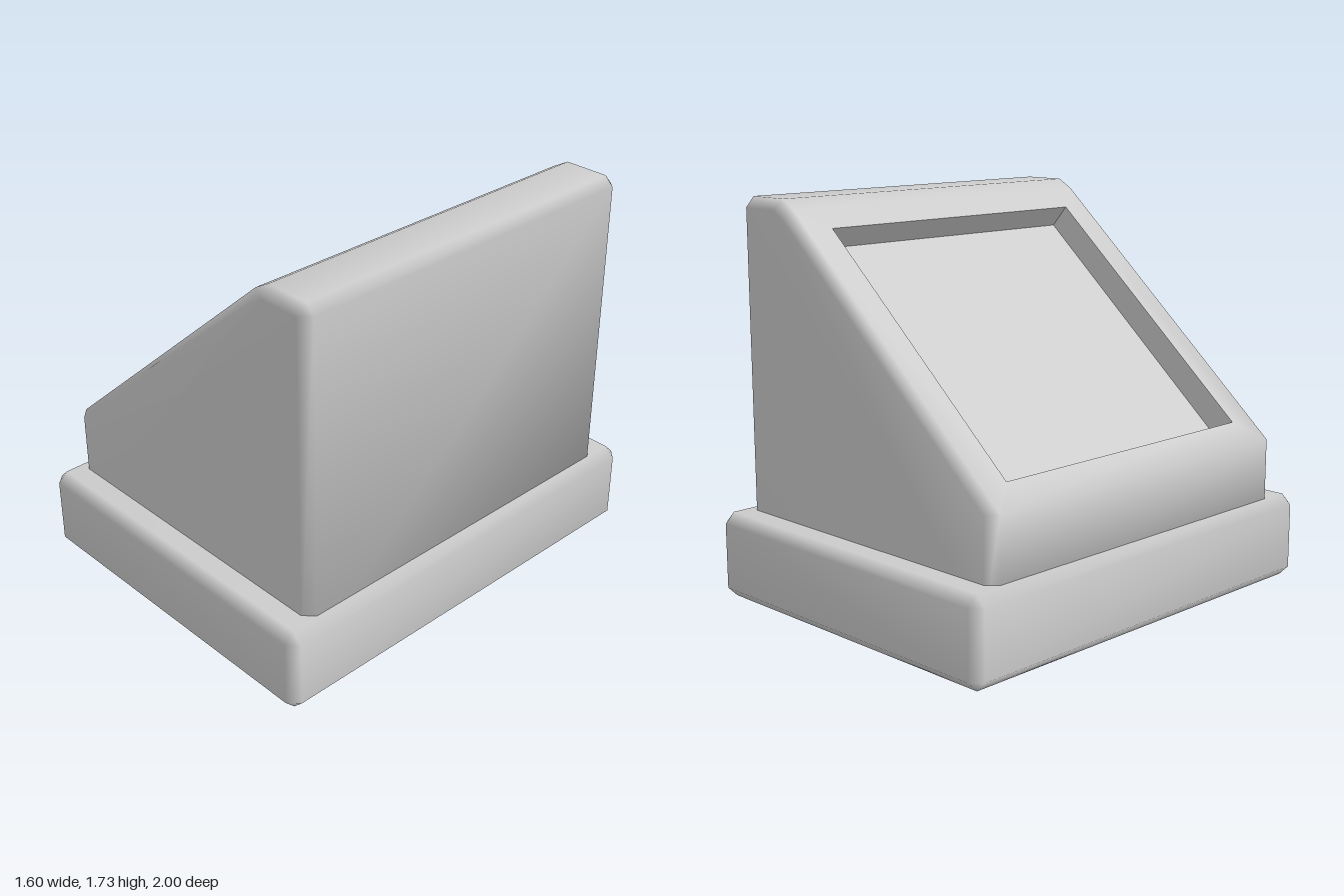
import * as THREE from 'three';
import { mergeVertices } from 'three/addons/utils/BufferGeometryUtils.js';

const material = new THREE.MeshStandardMaterial({ color: 0xcccccc });

// Two triangles for the quad a, b, c, d (counter-clockwise from outside)
function quad(out, a, b, c, d) {
  for (const p of [a, b, c, a, c, d]) out.push(...p);
}

function toGeometry(points) {
  const geometry = new THREE.BufferGeometry();
  geometry.setAttribute('position', new THREE.Float32BufferAttribute(points, 3));
  return geometry;
}

// Prism along z with chamfered ends: outer profile between +-zOuter, inner profile at +-zInner.
// If edge openEdge is given, that side becomes a frame around the four rim points.
function bevelPrism(outer, inner, zOuter, zInner, openEdge = -1, rim = []) {
  const at = (profile, z) => profile.map(([x, y]) => [x, y, z]);
  const rings = [at(inner, zInner), at(outer, zOuter), at(outer, -zOuter), at(inner, -zInner)];
  const out = [];
  const n = outer.length;
  for (let r = 0; r < 3; r++) {
    for (let i = 0; i < n; i++) {
      const j = (i + 1) % n;
      const loop = [rings[r][i], rings[r + 1][i], rings[r + 1][j], rings[r][j]];
      if (r === 1 && i === openEdge) {
        for (let k = 0; k < 4; k++) {
          const m = (k + 1) % 4;
          quad(out, loop[k], loop[m], rim[m], rim[k]);
        }
      } else {
        quad(out, ...loop);
      }
    }
  }
  // End caps
  for (let i = 1; i < n - 1; i++) {
    out.push(...rings[0][0], ...rings[0][i], ...rings[0][i + 1]);
    out.push(...rings[3][0], ...rings[3][i + 1], ...rings[3][i]);
  }
  const geometry = mergeVertices(toGeometry(out));
  geometry.computeVertexNormals();
  return geometry;
}

function addMesh(group, name, geometry) {
  const mesh = new THREE.Mesh(geometry, material);
  mesh.name = name;
  group.add(mesh);
}

export function createModel() {
  const group = new THREE.Group();
  group.name = 'slopedConsole';

  // Chamfered base slab
  const w = 0.8, h = 0.378, c = 0.045;
  const slab = [
    [-w + c, 0], [w - c, 0], [w, c], [w, h - c],
    [w - c, h], [-w + c, h], [-w, h - c], [-w, c],
  ];
  const slabEnd = slab.map(([x, y]) => [
    THREE.MathUtils.clamp(x, -w + c, w - c),
    THREE.MathUtils.clamp(y, c, h - c),
  ]);
  addMesh(group, 'base', bevelPrism(slab, slabEnd, 1 - c, 1));

  // Wedge housing: its sloped side runs from profile point 5 down to point 6
  const profile = [
    [-0.75, 0.2], [0.75, 0.2], [0.75, 1.69], [0.71, 1.73],
    [0.51, 1.73], [0.44, 1.69], [-0.75, 0.65],
  ];
  const profileEnd = [
    [-0.705, 0.2], [0.705, 0.2], [0.705, 1.685], [0.705, 1.685],
    [0.52, 1.685], [0.46, 1.65], [-0.705, 0.645],
  ];
  const [top, low] = [profile[5], profile[6]];
  const slope = (top[1] - low[1]) / (top[0] - low[0]);
  const onSlope = (x, z) => [x, low[1] + (x - low[0]) * slope, z];
  const rim = [onSlope(0.35, 0.7), onSlope(0.35, -0.7), onSlope(-0.655, -0.7), onSlope(-0.655, 0.7)];
  addMesh(group, 'housing', bevelPrism(profile, profileEnd, 0.827, 0.87, 5, rim));

  // Recess walls and screen, sunk at right angles to the slope
  const depth = 0.12, angle = Math.atan(slope);
  const floor = rim.map(([x, y, z]) => [x + depth * Math.sin(angle), y - depth * Math.cos(angle), z]);
  const walls = [], screen = [];
  for (let k = 0; k < 4; k++) {
    const m = (k + 1) % 4;
    quad(walls, rim[k], rim[m], floor[m], floor[k]);
  }
  quad(screen, ...floor);
  for (const [name, points] of [['recessWalls', walls], ['screen', screen]]) {
    const geometry = toGeometry(points);
    geometry.computeVertexNormals();
    addMesh(group, name, geometry);
  }

  return group;
}
